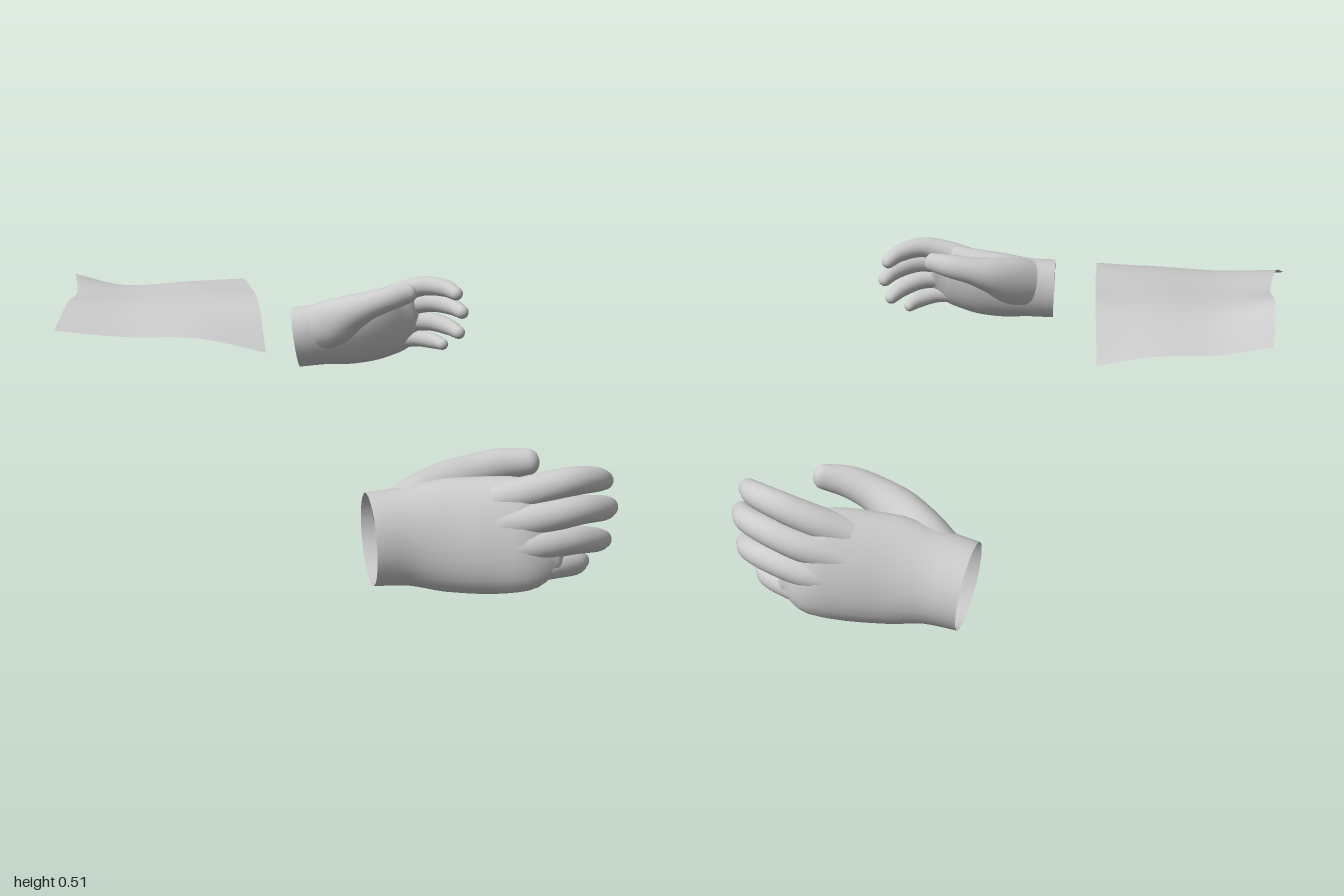
import * as THREE from 'three';

const material = new THREE.MeshStandardMaterial({ color: 0xcccccc, side: THREE.DoubleSide });

// Smooth surface through a grid of points given by at(u, v).
function surface(at, nu, nv, closed) {
  const positions = [], index = [];
  const row = closed ? nv : nv + 1;
  for (let i = 0; i <= nu; i++) {
    for (let j = 0; j < row; j++) positions.push(...at(i / nu, j / nv).toArray());
  }
  for (let i = 0; i < nu; i++) {
    for (let j = 0; j < nv; j++) {
      const k = (j + 1) % row;
      const a = i * row + j, b = i * row + k, c = a + row, d = b + row;
      index.push(a, b, c, b, d, c);
    }
  }
  const geometry = new THREE.BufferGeometry();
  geometry.setAttribute('position', new THREE.Float32BufferAttribute(positions, 3));
  geometry.setIndex(index);
  geometry.computeVertexNormals();
  return geometry;
}

// Limb with elliptical sections; each station is [x, y, z, tall radius, thin radius].
function limb(name, stations, lean, rounded) {
  const path = new THREE.CatmullRomCurve3(stations.map(s => new THREE.Vector3(s[0], s[1], s[2])));
  const size = new THREE.CatmullRomCurve3(stations.map(s => new THREE.Vector3(s[3], s[4] ?? s[3], 0)));
  const up = new THREE.Vector3(0, 1, -lean).normalize();
  const body = rounded ? 0.72 : 1;
  const at = (u, v) => {
    // The last part of the rings closes into a round tip.
    const t = Math.min(u / body, 1);
    const cap = Math.max(0, (u - body) / (1 - body || 1)) * Math.PI / 2;
    const tangent = path.getTangent(t);
    const side = new THREE.Vector3().crossVectors(tangent, up).normalize();
    const tall = new THREE.Vector3().crossVectors(side, tangent);
    const r = size.getPoint(t), angle = v * Math.PI * 2;
    return path.getPoint(t)
      .addScaledVector(tangent, Math.sin(cap) * r.y)
      .addScaledVector(tall, Math.cos(angle) * r.x * Math.cos(cap))
      .addScaledVector(side, Math.sin(angle) * r.y * Math.cos(cap));
  };
  const mesh = new THREE.Mesh(surface(at, 28, 28, true), material);
  mesh.name = name;
  return mesh;
}

function createHand(name) {
  const hand = new THREE.Group();
  hand.name = name;

  // Palm with an open wrist
  hand.add(limb('palm', [
    [0.042, 0.115, 0.884, 0.097, 0.082],
    [0.12, 0.118, 0.88, 0.103, 0.074],
    [0.20, 0.12, 0.887, 0.118, 0.068],
    [0.28, 0.122, 0.903, 0.122, 0.064],
    [0.36, 0.13, 0.925, 0.118, 0.05],
    [0.41, 0.138, 0.928, 0.09, 0.028]
  ], 0.33, true));

  // Fingers: knuckle, middle joint, end joint, tip
  const fingers = {
    indexFinger: [[0.30, 0.195, 0.9, 0.036], [0.38, 0.217, 0.912, 0.034],
      [0.46, 0.232, 0.905, 0.031], [0.525, 0.224, 0.868, 0.027], [0.555, 0.21, 0.83, 0.021]],
    middleFinger: [[0.30, 0.15, 0.925, 0.036], [0.39, 0.166, 0.938, 0.034],
      [0.475, 0.175, 0.922, 0.031], [0.54, 0.163, 0.876, 0.027], [0.568, 0.15, 0.83, 0.021]],
    ringFinger: [[0.30, 0.10, 0.938, 0.035], [0.38, 0.112, 0.95, 0.033],
      [0.465, 0.113, 0.93, 0.03], [0.525, 0.097, 0.887, 0.026], [0.553, 0.083, 0.845, 0.02]],
    pinkyFinger: [[0.28, 0.055, 0.935, 0.034], [0.35, 0.06, 0.948, 0.031],
      [0.42, 0.061, 0.938, 0.027], [0.475, 0.052, 0.905, 0.024], [0.50, 0.046, 0.87, 0.018]]
  };
  for (const [part, stations] of Object.entries(fingers)) {
    hand.add(limb(part, stations, 0.33, true));
  }

  // Thumb with a broad base
  hand.add(limb('thumb', [
    [0.09, 0.135, 0.87, 0.07, 0.055],
    [0.16, 0.16, 0.825, 0.075, 0.056],
    [0.23, 0.195, 0.782, 0.055, 0.05],
    [0.29, 0.216, 0.762, 0.041, 0.04],
    [0.35, 0.23, 0.757, 0.036, 0.034],
    [0.405, 0.237, 0.767, 0.029, 0.025]
  ], 0, true));
  return hand;
}

function createSheet() {
  // Cross profiles from the wavy edge to the straight edge, front to back
  const profiles = [
    [[-0.62, 0.445, 0.25], [-0.59, 0.492, 0.14], [-0.57, 0.492, 0], [-0.575, 0.517, -0.14], [-0.57, 0.45, -0.25]],
    [[-0.45, 0.428, 0.26], [-0.45, 0.482, 0.15], [-0.45, 0.488, 0], [-0.45, 0.484, -0.15], [-0.45, 0.43, -0.26]],
    [[-0.28, 0.425, 0.28], [-0.28, 0.485, 0.16], [-0.28, 0.498, 0], [-0.28, 0.488, -0.16], [-0.28, 0.425, -0.275]],
    [[-0.12, 0.392, 0.305], [-0.125, 0.487, 0.17], [-0.13, 0.497, 0], [-0.14, 0.49, -0.17], [-0.15, 0.402, -0.288]]
  ].map(p => new THREE.CatmullRomCurve3(p.map(q => new THREE.Vector3(...q))));
  const at = (u, v) => new THREE.CatmullRomCurve3(profiles.map(p => p.getPoint(v))).getPoint(u);
  const mesh = new THREE.Mesh(surface(at, 20, 24, false), material);
  mesh.name = 'curvedSheet';
  return mesh;
}

export function createModel() {
  const model = new THREE.Group();
  model.name = 'handsAndSheet';

  const frontHand = createHand('frontHand');

  // Opposite hand: mirrored, then raised and turned slightly
  const mirrored = createHand('mirroredHand');
  mirrored.scale.z = -1;
  mirrored.position.set(-0.31, -0.13, 0.87);
  const backHand = new THREE.Group();
  backHand.name = 'backHand';
  backHand.add(mirrored);
  backHand.position.set(0.345, 0.22, -0.872);
  backHand.rotation.set(0, -0.12, 0.11);

  model.add(frontHand, backHand, createSheet());
  return model;
}
